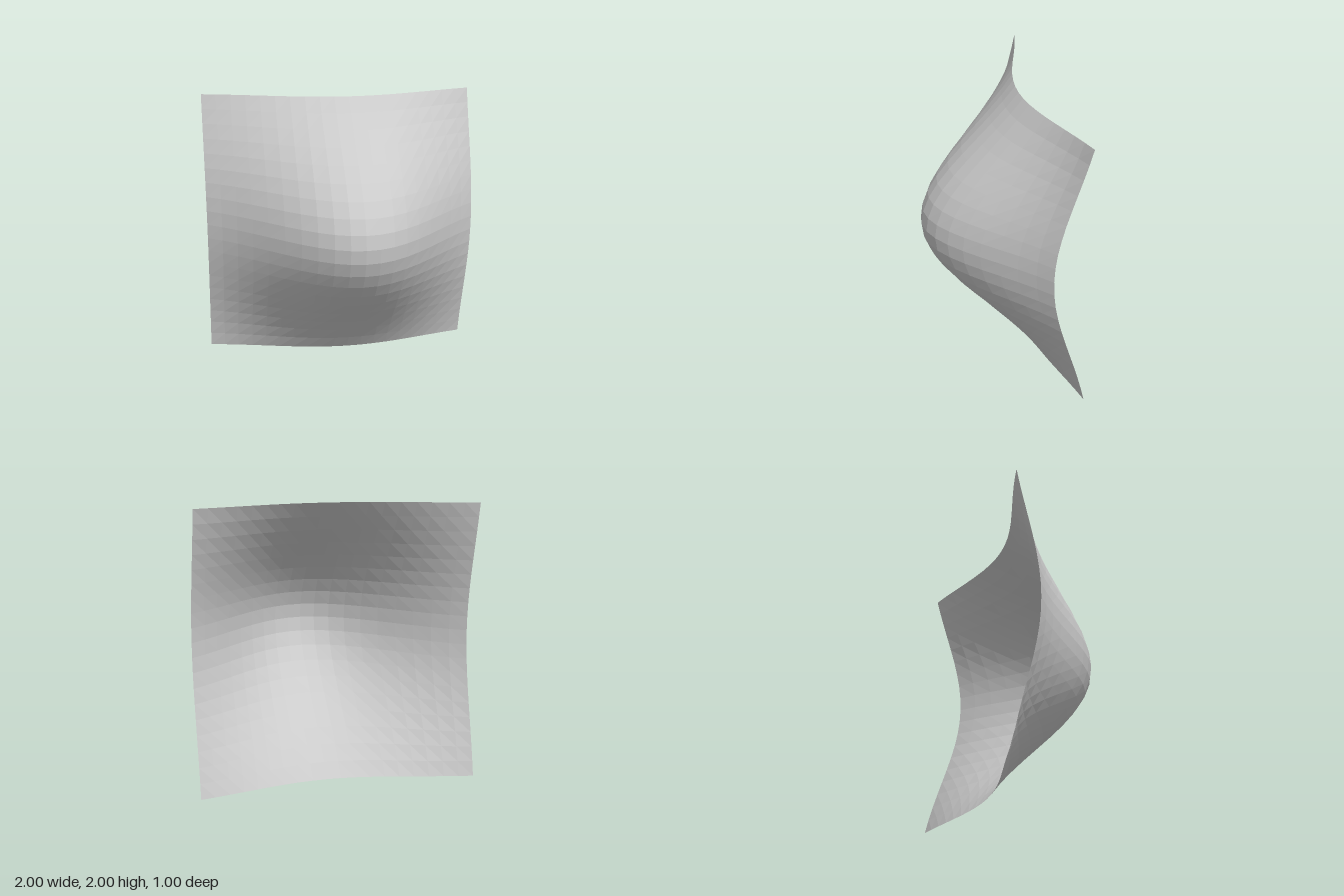
import * as THREE from 'three';

// Height of the bell-shaped bulge, with a slight sideways tilt
function bulge(x, y) {
  const dx = x - 1 / 19;
  const dy = y - 1 - 1 / 19;
  const bell = Math.exp(-1.2535 * (dx * dx + dy * dy));
  return 0.5 - 1.048 * (1 - bell) + 0.018 * dx;
}

export function createModel() {
  const model = new THREE.Group();
  model.name = 'curvedSheet';

  // Square sheet of 19 x 19 cells, pushed out towards the front
  const geometry = new THREE.PlaneGeometry(2, 2, 19, 19);
  geometry.translate(0, 1, 0);
  const position = geometry.attributes.position;
  for (let i = 0; i < position.count; i++) {
    position.setZ(i, bulge(position.getX(i), position.getY(i)));
  }
  geometry.computeVertexNormals();

  const material = new THREE.MeshStandardMaterial({
    color: 0xcccccc,
    flatShading: true,
    side: THREE.DoubleSide,
  });
  const sheet = new THREE.Mesh(geometry, material);
  sheet.name = 'bulgedSurface';
  model.add(sheet);
  return model;
}
